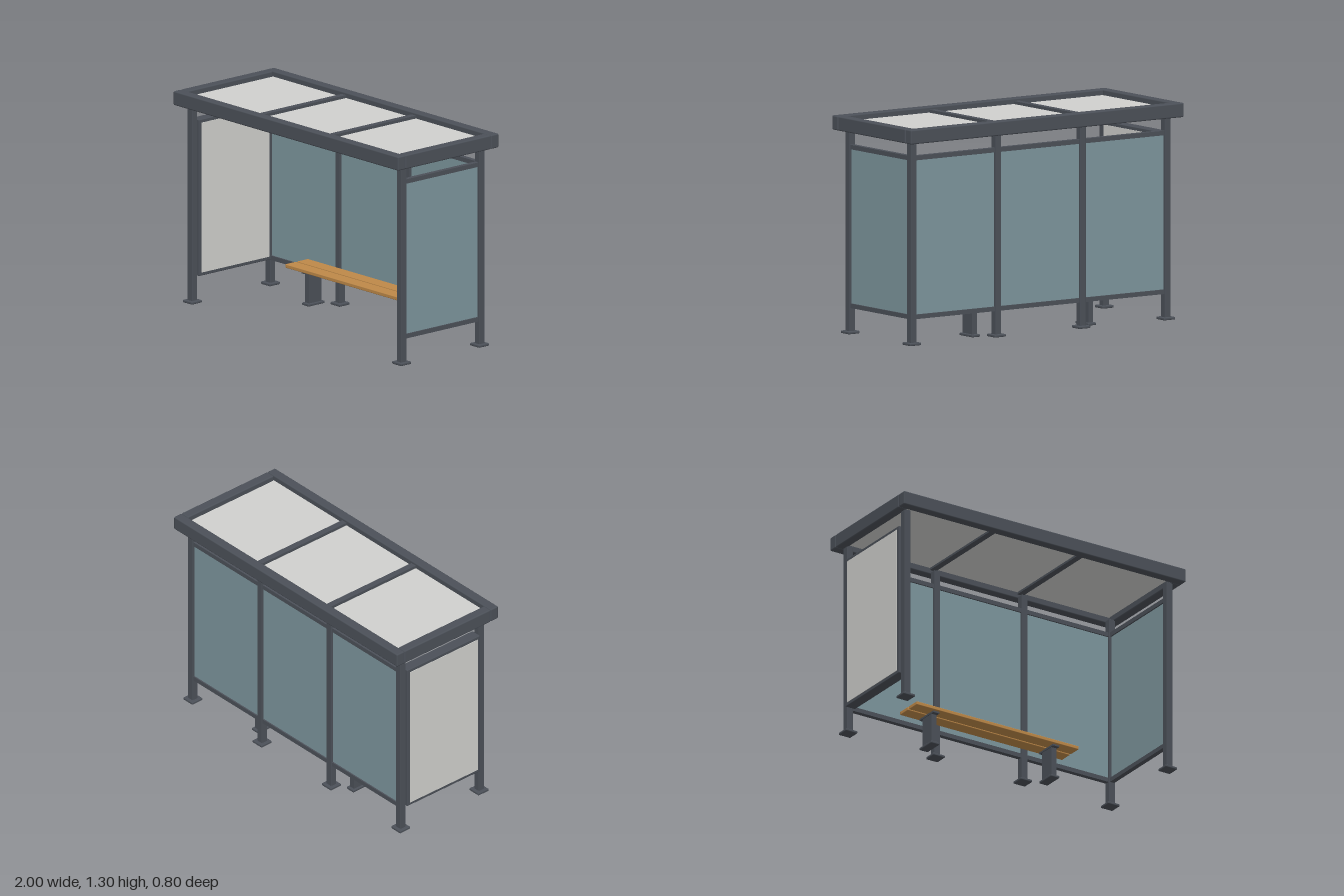
import * as THREE from 'three';
import { RoundedBoxGeometry } from 'three/addons/geometries/RoundedBoxGeometry.js';

export function createModel() {
  const group = new THREE.Group();
  const mat = (name, color) => {
    const m = new THREE.MeshStandardMaterial({ color });
    m.name = name;
    return m;
  };
  const steel = mat('dark steel', 0x4b5058);
  const glass = mat('tinted glass', 0x7d969d);
  const sheet = mat('pale sheet', 0xd0d0cd);
  const wood = mat('bench wood', 0xbd8848);

  // Box given by its centre and size; a radius softens the edges
  function box(name, material, [x, y, z], [w, h, d], radius = 0) {
    const geo = radius
      ? new RoundedBoxGeometry(w, h, d, 2, radius)
      : new THREE.BoxGeometry(w, h, d);
    const mesh = new THREE.Mesh(geo, material);
    mesh.name = name;
    mesh.position.set(x, y, z);
    group.add(mesh);
  }

  const endX = 0.93, midX = 0.31, postZ = 0.31, postW = 0.042;

  // Posts on foot plates: four at the back, two at the front
  function post(x, z) {
    box('post', steel, [x, 0.615, z], [postW, 1.21, postW], 0.003);
    box('footPlate', steel, [x, 0.008, z], [0.082, 0.016, 0.082], 0.005);
  }
  for (const x of [-endX, -midX, midX, endX]) post(x, -postZ);
  for (const x of [-endX, endX]) post(x, postZ);

  // Back wall: three glazed bays with rails
  const railY = [0.168, 1.118], glassH = 0.93, glassY = 0.643;
  for (const x of [-0.62, 0, 0.62]) {
    box('backGlass', glass, [x, glassY, -postZ], [0.58, glassH, 0.012]);
    for (const y of railY) box('backRail', steel, [x, y, -postZ], [0.58, 0.027, 0.03]);
  }

  // Glazed wall on the model's left
  box('sideGlass', glass, [endX, glassY, 0], [0.012, glassH, 0.58]);
  for (const y of railY) box('sideRail', steel, [endX, y, 0], [0.03, 0.027, 0.58]);

  // Display case on the opposite end, with a pale sheet on both faces
  const caseY = 0.643, caseH = 0.96, caseD = 0.576;
  box('displayCase', steel, [-endX, caseY, 0], [0.068, caseH, caseD], 0.004);
  for (const side of [-1, 1]) {
    box('displaySheet', sheet, [-endX + side * 0.034, caseY, 0],
      [0.006, caseH - 0.04, caseD - 0.04]);
  }

  // Roof frame, cross bars and panels
  const roofY = 1.257, roofH = 0.086;
  for (const s of [-1, 1]) {
    box('roofBeam', steel, [0, roofY, s * 0.37], [2, roofH, 0.06], 0.008);
    box('roofEndBeam', steel, [s * 0.97, roofY, 0], [0.06, roofH, 0.68], 0.008);
    box('roofCrossBar', steel, [s * midX, 1.262, 0], [0.04, 0.045, 0.684]);
  }
  for (const x of [-0.63, 0, 0.63]) {
    box('roofPanel', sheet, [x, 1.26, 0], [x ? 0.63 : 0.6, 0.014, 0.684]);
  }

  // Bench: two planks on two pedestals
  const benchZ = -0.2;
  for (const s of [-1, 1]) {
    box('benchPlank', wood, [0, 0.22, benchZ + s * 0.048], [1.15, 0.022, 0.085], 0.004);
    box('benchLeg', steel, [s * 0.425, 0.106, benchZ], [0.036, 0.196, 0.098]);
    box('benchBracket', steel, [s * 0.425, 0.204, benchZ], [0.044, 0.012, 0.15]);
    box('benchFootPlate', steel, [s * 0.425, 0.008, benchZ], [0.06, 0.016, 0.13], 0.005);
  }

  return group;
}
